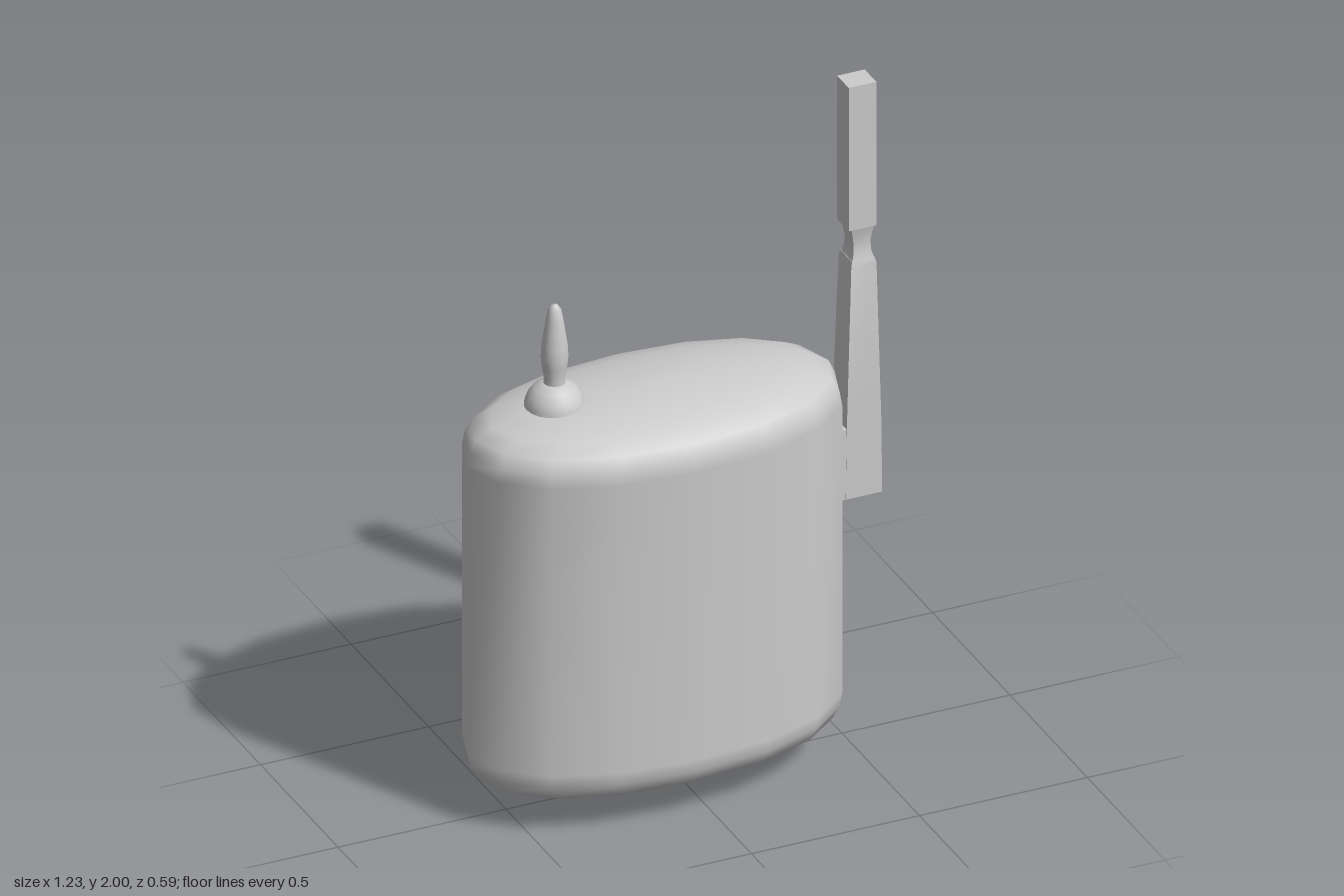
import * as THREE from 'three';
import { toCreasedNormals } from 'three/addons/utils/BufferGeometryUtils.js';

const material = new THREE.MeshStandardMaterial({ color: 0xcccccc, side: THREE.DoubleSide });

function addMesh(parent, name, geometry) {
  const mesh = new THREE.Mesh(geometry, material);
  mesh.name = name;
  parent.add(mesh);
  return mesh;
}

// Skin closed rings of equal point count from bottom to top, capping both ends.
function loft(rings) {
  const n = rings[0].length;
  const position = [];
  const index = [];
  rings.forEach((ring) => ring.forEach((p) => position.push(...p)));
  for (let r = 0; r < rings.length - 1; r++) {
    for (let i = 0; i < n; i++) {
      const a = r * n + i;
      const b = r * n + (i + 1) % n;
      index.push(a, a + n, b, b, a + n, b + n);
    }
  }
  const top = (rings.length - 1) * n;
  for (let i = 1; i < n - 1; i++) {
    index.push(0, i, i + 1, top, top + i + 1, top + i);
  }
  const geometry = new THREE.BufferGeometry();
  geometry.setAttribute('position', new THREE.Float32BufferAttribute(position, 3));
  geometry.setIndex(index);
  geometry.computeVertexNormals();
  return geometry;
}

// Slightly squared oval ring around (cx, cz).
function oval(cx, cz, rx, rz, y, sides, power = 1) {
  const bulge = (v) => Math.sign(v) * Math.pow(Math.abs(v), power);
  return Array.from({ length: sides }, (_, i) => {
    const a = (i / sides) * Math.PI * 2;
    return [cx + rx * bulge(Math.cos(a)), y, cz + rz * bulge(Math.sin(a))];
  });
}

// Rectangular ring given by its limits.
const rect = (y, x0, x1, z0, z1) => [[x0, y, z0], [x1, y, z0], [x1, y, z1], [x0, y, z1]];

export function createModel() {
  const model = new THREE.Group();

  // Body: oval can with rounded rims, [half height, rx, rz]
  const half = [
    [0.445, 0.55, 0.293], [0.485, 0.543, 0.287], [0.522, 0.525, 0.268],
    [0.55, 0.475, 0.225], [0.572, 0.37, 0.165], [0.586, 0.2, 0.09], [0.59, 0.02, 0.01],
  ];
  const profile = [
    ...half.slice().reverse().map(([h, rx, rz]) => [-h, rx, rz]),
    ...half,
  ];
  addMesh(model, 'body', loft(profile.map(([h, rx, rz]) => oval(-0.065, 0, rx, rz, 0.645 + h, 16, 0.93))));

  // Foot: thin oval pad with a softened lower edge
  const footProfile = [[0, 0.05, 0.012], [0.004, 0.24, 0.056], [0.013, 0.3, 0.07], [0.028, 0.315, 0.076], [0.08, 0.315, 0.076]];
  addMesh(model, 'foot', toCreasedNormals(
    loft(footProfile.map(([y, rx, rz]) => oval(-0.065, -0.07, rx, rz, y, 32))), 0.8));

  // Knob: domed base and teardrop spike
  const knob = new THREE.Group();
  knob.name = 'knob';
  knob.position.set(-0.35, 1.2, -0.012);
  model.add(knob);
  const lathe = (points) => new THREE.LatheGeometry(points.map(([r, y]) => new THREE.Vector2(r, y)), 20);
  addMesh(knob, 'knobBase', lathe([[0.084, 0], [0.083, 0.025], [0.074, 0.05], [0.056, 0.072], [0.03, 0.086], [0, 0.09]]));
  addMesh(knob, 'knobSpike', lathe([[0.032, 0.07], [0.029, 0.1], [0.035, 0.135], [0.038, 0.165], [0.036, 0.2],
    [0.03, 0.24], [0.024, 0.28], [0.018, 0.31], [0.009, 0.323], [0, 0.326]]));

  // Arm on the side: mount, tapered lower bar, pinched neck, upper bar
  const arm = new THREE.Group();
  arm.name = 'sideArm';
  model.add(arm);
  const bar = (name, rings) => addMesh(arm, name, toCreasedNormals(loft(rings.map((r) => rect(...r))), 0.6));
  bar('armMount', [[0.73, 0.43, 0.53, -0.085, 0.013], [0.945, 0.43, 0.53, -0.083, 0.011]]);
  bar('lowerBar', [
    [0.73, 0.505, 0.613, -0.086, 0.014], [0.945, 0.509, 0.612, -0.085, 0.012],
    [1.44, 0.526, 0.601, -0.078, 0.004], [1.455, 0.53, 0.597, -0.074, 0],
  ]);
  bar('neck', [
    [1.45, 0.53, 0.597, -0.074, 0], [1.475, 0.537, 0.59, -0.067, -0.006], [1.505, 0.538, 0.588, -0.065, -0.008],
    [1.535, 0.533, 0.592, -0.067, -0.004], [1.56, 0.526, 0.597, -0.07, 0.002],
  ]);
  bar('upperBar', [[1.555, 0.518, 0.6, -0.07, 0.005], [2, 0.518, 0.6, -0.07, 0.005]]);

  return model;
}
